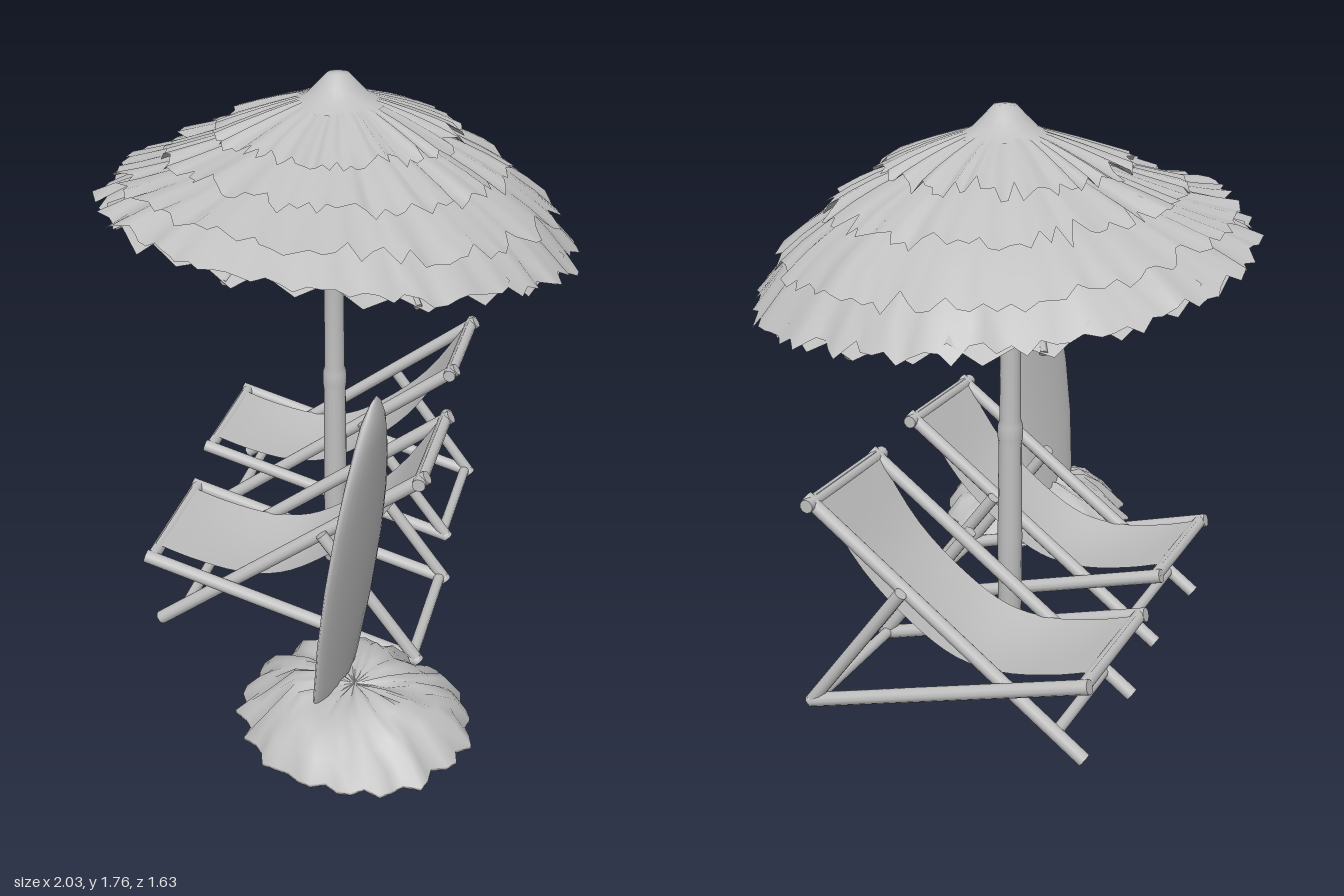
import * as THREE from 'three';

const grey = new THREE.MeshStandardMaterial({ color: 0xc0c0c0, side: THREE.DoubleSide });
grey.name = 'plain grey';

let seed = 7;
const rnd = () => (seed = (seed * 16807) % 2147483647) / 2147483647;
const jitter = (a) => (rnd() * 2 - 1) * a;
const V = (x, y, z) => new THREE.Vector3(x, y, z);

function add(parent, name, geometry) {
  const m = new THREE.Mesh(geometry, grey);
  m.name = name;
  parent.add(m);
  return m;
}

// round bar between two points
function bar(parent, name, a, b, r = 0.022, sides = 10) {
  const d = b.clone().sub(a);
  const m = add(parent, name, new THREE.CylinderGeometry(r, r, d.length(), sides));
  m.position.copy(a).addScaledVector(d, 0.5);
  m.quaternion.setFromUnitVectors(V(0, 1, 0), d.normalize());
}

// skin over closed rings listed from top to bottom; point(i, j) gives each vertex
function loft(rows, cols, point) {
  const pos = [], idx = [];
  for (let i = 0; i < rows; i++) {
    for (let j = 0; j < cols; j++) {
      pos.push(...point(i, j));
      if (i === rows - 1) continue;
      const a = i * cols + j, b = i * cols + (j + 1) % cols;
      idx.push(a, b, a + cols, b, b + cols, a + cols);
    }
  }
  const g = new THREE.BufferGeometry();
  g.setAttribute('position', new THREE.Float32BufferAttribute(pos, 3));
  g.setIndex(idx);
  g.computeVertexNormals();
  return g;
}

// ---- straw parasol ----
// point on the leaning canopy: radius, height at the axis, angle; the lean grows towards the rim
function canopy(r, y, a) {
  const lean = 0.16 * Math.min(1, r / 0.76) ** 2.5;
  return V(r * Math.cos(a), y + lean * r * Math.sin(a), r * Math.sin(a));
}

function thatchLayer(r0, y0, r1, y1) {
  const cols = 120, rows = 5;
  const fray = [], fold = [];
  for (let j = 0; j < cols; j++) {
    fray.push(jitter(0.02) - (rnd() < 0.15 ? 0.035 : 0));
    fold.push(jitter(0.016));
  }
  return loft(rows, cols, (i, j) => {
    const t = i / (rows - 1);
    const r = r0 + (r1 - r0) * t + fray[j] * t ** 3;
    const y = y0 + (y1 - y0) * (0.75 * t + 0.25 * t * t) + fold[j] * t - fray[j] * 0.5 * t ** 3;
    return canopy(r, y, (j / cols) * Math.PI * 2).toArray();
  });
}

function parasol() {
  const g = new THREE.Group();
  g.name = 'parasol';
  g.position.set(-0.155, 0, -0.04);

  const profile = [[0, 0.01], [0.038, 0.01], [0.04, 0.35], [0.037, 0.68], [0.04, 0.7], [0.04, 0.74],
    [0.034, 0.76], [0.033, 1.06], [0.044, 1.08], [0.05, 1.1], [0.05, 1.15], [0.042, 1.175],
    [0.022, 1.18], [0.022, 1.6], [0, 1.6]].map((p) => new THREE.Vector2(...p));
  const pole = add(g, 'pole', new THREE.LatheGeometry(profile, 14));
  pole.position.z = 0.02;

  // overlapping straw tiers, outermost first
  const tiers = [
    [0.45, 1.485, 0.76, 1.275],
    [0.4, 1.515, 0.69, 1.385],
    [0.24, 1.6, 0.54, 1.485],
    [0.08, 1.69, 0.38, 1.577],
  ];
  for (const t of tiers) add(g, 'strawTier', thatchLayer(...t));

  // peak
  const cap = [[0, 1.76], [0.035, 1.757], [0.07, 1.72], [0.1, 1.69], [0.15, 1.668]];
  add(g, 'strawCap', loft(cap.length, 24, (i, j) =>
    canopy(cap[i][0] + (i === 4 ? jitter(0.014) : 0), cap[i][1], (j / 24) * Math.PI * 2).toArray()));

  // pleated lining
  const lining = [[0.02, 1.57], [0.38, 1.46], [0.73, 1.265]];
  add(g, 'lining', loft(3, 48, (i, j) =>
    canopy(lining[i][0], lining[i][1] + (j % 2 ? 0.014 : -0.014) * i + jitter(0.008 * i),
      (j / 48) * Math.PI * 2).toArray()));

  // rafters and struts
  for (let k = 0; k < 8; k++) {
    const a = (k / 8) * Math.PI * 2 + 0.3;
    bar(g, 'rafterInner', canopy(0.02, 1.55, a), canopy(0.4, 1.435, a), 0.012, 6);
    bar(g, 'rafterOuter', canopy(0.4, 1.435, a), canopy(0.72, 1.245, a), 0.012, 6);
    bar(g, 'strut', V(0.03 * Math.cos(a), 1.15, 0.03 * Math.sin(a)), canopy(0.4, 1.425, a), 0.013, 6);
  }
  return g;
}

// ---- deck chair: its back rises towards local +x ----
function deckChair(x, z) {
  const g = new THREE.Group();
  g.name = 'deckChair';
  g.position.set(x, 0, z);
  g.rotation.y = 0.71;
  const L = 0.885;
  for (const s of [-1, 1]) {
    const inner = s * 0.2, outer = s * 0.236;
    bar(g, 'backRail', V(0.01, 0.02, inner), V(L + 0.01, 0.675, inner));
    bar(g, 'seatRail', V(-0.015, 0.28, outer), V(L, 0.025, outer));
    bar(g, 'propLeg', V(L, 0.02, outer), V(0.57, 0.445, outer), 0.02);
  }
  const cross = (name, u, y, w, r) => bar(g, name, V(u, y, -w), V(u, y, w), r);
  cross('topBar', L - 0.01, 0.662, 0.235, 0.021);
  cross('seatFrontBar', 0.005, 0.275, 0.24, 0.021);
  cross('frontFootBar', 0.1, 0.085, 0.2, 0.018);
  cross('rearFootBar', L - 0.02, 0.035, 0.236, 0.018);

  // hanging cloth
  const path = new THREE.CatmullRomCurve3([[0, 0.297], [0.12, 0.26], [0.28, 0.233], [0.42, 0.25],
    [0.56, 0.328], [0.72, 0.468], [L - 0.015, 0.683]].map(([u, y]) => V(u, y, 0)));
  const cloth = new THREE.PlaneGeometry(0.37, 1, 6, 24);
  const p = cloth.attributes.position;
  for (let i = 0; i < p.count; i++) {
    const w = p.getX(i), t = p.getY(i) + 0.5;
    const c = path.getPoint(t);
    const dip = 0.015 * Math.sin(Math.PI * t) * (1 - (w / 0.185) ** 2);
    p.setXYZ(i, c.x, c.y - dip, -w);
  }
  cloth.computeVertexNormals();
  add(g, 'cloth', cloth);
  return g;
}

// ---- surfboard standing in the sand ----
function surfboard() {
  const halfWidth = [[1.142, 0.003], [1.12, 0.03], [1.07, 0.065], [1.0, 0.1], [0.9, 0.14], [0.78, 0.17],
    [0.6, 0.19], [0.4, 0.183], [0.2, 0.15], [0.08, 0.11], [0.06, 0]];
  const cols = 20;
  return loft(halfWidth.length, cols, (i, j) => {
    const [y, w] = halfWidth[i];
    const a = (j / cols) * Math.PI * 2;
    const t = (y - 0.1) / 1.04;
    const across = w * Math.cos(a);
    const thick = Math.min(0.025, w * 0.35) * Math.sin(a);
    const bow = 0.008 * Math.sin(Math.PI * t);
    return [0.572 + 0.122 * t + 0.5 * across - 0.86 * thick + bow, y,
      0.507 - 0.067 * t + 0.87 * across + 0.5 * thick];
  });
}

// ---- sand heap with a ragged rim ----
function sandHeap() {
  const rings = [[0, 0.165], [0.1, 0.175], [0.18, 0.17], [0.24, 0.14], [0.29, 0.1], [0.335, 0.05],
    [0.335, 0.04], [0, 0.04]];
  const cols = 54;
  const rim = Array.from({ length: cols }, (_, j) => 1 + 0.045 * Math.sin(j * 2 * Math.PI * 18 / cols) + jitter(0.04));
  return loft(rings.length, cols, (i, j) => {
    const a = (j / cols) * Math.PI * 2;
    const [r, y] = rings[i];
    const R = r * (i > 2 ? rim[j] : 1);
    const bump = i > 0 && i < 5 ? 0.014 * Math.sin(3 * a + i) + jitter(0.012) : 0;
    return [0.635 + 1.06 * R * Math.cos(a), y + bump, 0.47 + 0.97 * R * Math.sin(a)];
  });
}

export function createModel() {
  const model = new THREE.Group();
  model.name = 'beachSet';
  model.add(parasol(), deckChair(-0.835, -0.01), deckChair(-0.318, 0.525));
  add(model, 'surfboard', surfboard());
  add(model, 'sandHeap', sandHeap());
  return model;
}
